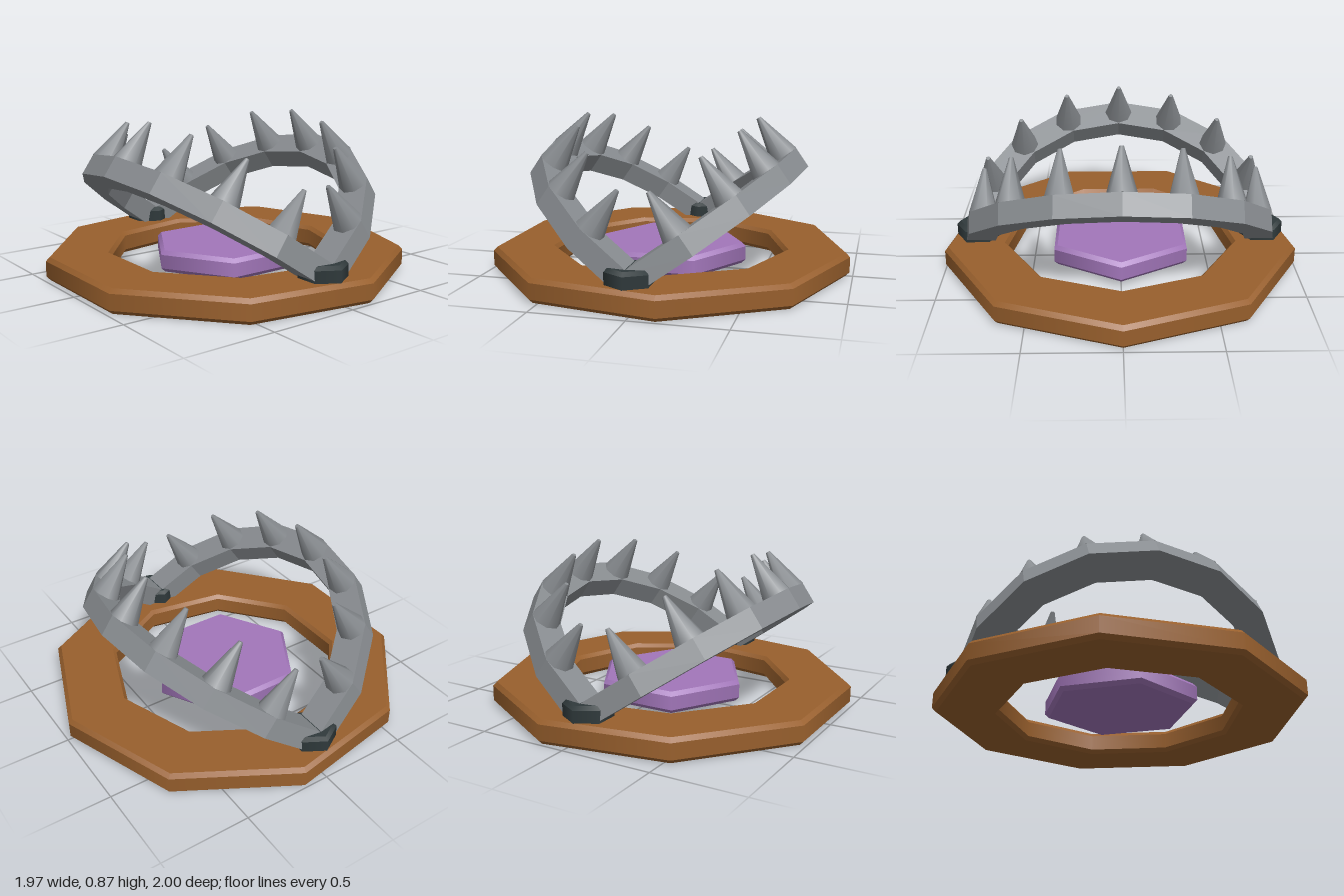
import * as THREE from 'three';
import { mergeGeometries } from 'three/addons/utils/BufferGeometryUtils.js';

const material = (name, color) => {
  const m = new THREE.MeshStandardMaterial({ color });
  m.name = name;
  return m;
};

// Turned polygonal solid: smooth around, with a crisp edge at every profile point
function turned(profile, sides) {
  const bands = [];
  for (let i = 0; i < profile.length - 1; i++) {
    const pair = [profile[i], profile[i + 1]].map(([r, y]) => new THREE.Vector2(r, y));
    bands.push(new THREE.LatheGeometry(pair, sides));
  }
  return mergeGeometries(bands);
}

// Solid prism with bevelled rims
const bevelledPrism = (r, y0, y1, b, sides) => turned([
  [0, y0], [r - b, y0], [r, y0 + b], [r, y1 - b], [r - b, y1], [0, y1],
], sides);

function addMesh(parent, name, geometry, mat) {
  const mesh = new THREE.Mesh(geometry, mat);
  mesh.name = name;
  parent.add(mesh);
  return mesh;
}

export function createModel() {
  const wood = material('brown base', 0x99602d);
  const steel = material('grey steel', 0x888c90);
  const iron = material('dark iron', 0x303a3c);
  const violet = material('purple plate', 0xa276ba);

  const model = new THREE.Group();
  model.name = 'jawTrap';
  const body = new THREE.Group();
  body.name = 'trapBody';
  body.position.x = -0.033;
  model.add(body);

  // Nine-sided base ring
  const ring = turned([
    [0.675, 0], [0.993, 0], [1.015, 0.022], [1.015, 0.108], [0.993, 0.13],
    [0.675, 0.13], [0.655, 0.108], [0.655, 0.022], [0.675, 0],
  ], 9);
  addMesh(body, 'baseRing', ring.rotateY(Math.PI / 2), wood);

  // Six-sided trigger plate
  const plate = bevelledPrism(0.433, 0.035, 0.155, 0.022, 6);
  addMesh(body, 'triggerPlate', plate.rotateY(Math.PI / 2), violet);

  // Hinge blocks at front and back
  const hinge = bevelledPrism(0.13, 0.002, 0.215, 0.02, 6);
  for (const side of [1, -1]) {
    addMesh(body, side > 0 ? 'frontHinge' : 'backHinge', hinge, iron).position.z = side * 0.82;
  }

  // Half-ring jaw and tooth shapes
  const thickness = 0.122;
  const arch = new THREE.Shape();
  arch.absarc(0, 0, 0.9, -Math.PI / 2, Math.PI / 2, false);
  arch.absarc(0, 0, 0.735, Math.PI / 2, -Math.PI / 2, true);
  const jawGeometry = new THREE.ExtrudeGeometry(arch, {
    depth: thickness, bevelEnabled: false, curveSegments: 4,
  });
  jawGeometry.translate(0, 0, -thickness / 2).rotateX(-Math.PI / 2);
  const toothGeometry = new THREE.CylinderGeometry(0.012, 0.082, 0.25, 8);
  toothGeometry.translate(0, 0.125 + thickness / 2, 0);

  // Two mirrored jaws, tilted open, each with seven teeth
  for (const side of [1, -1]) {
    const half = new THREE.Group();
    half.name = side > 0 ? 'leftJaw' : 'rightJaw';
    half.position.y = 0.139;
    half.rotation.y = side > 0 ? 0 : Math.PI;
    body.add(half);
    const tilted = new THREE.Group();
    tilted.name = 'tiltedJaw';
    tilted.rotation.z = THREE.MathUtils.degToRad(35);
    half.add(tilted);
    addMesh(tilted, 'jawArch', jawGeometry, steel);
    for (let i = -3; i <= 3; i++) {
      const a = i * Math.PI / 8;
      const tooth = addMesh(tilted, 'tooth', toothGeometry, steel);
      tooth.position.set(0.82 * Math.cos(a), 0, 0.82 * Math.sin(a));
      tooth.rotation.y = -a;
    }
  }
  return model;
}
